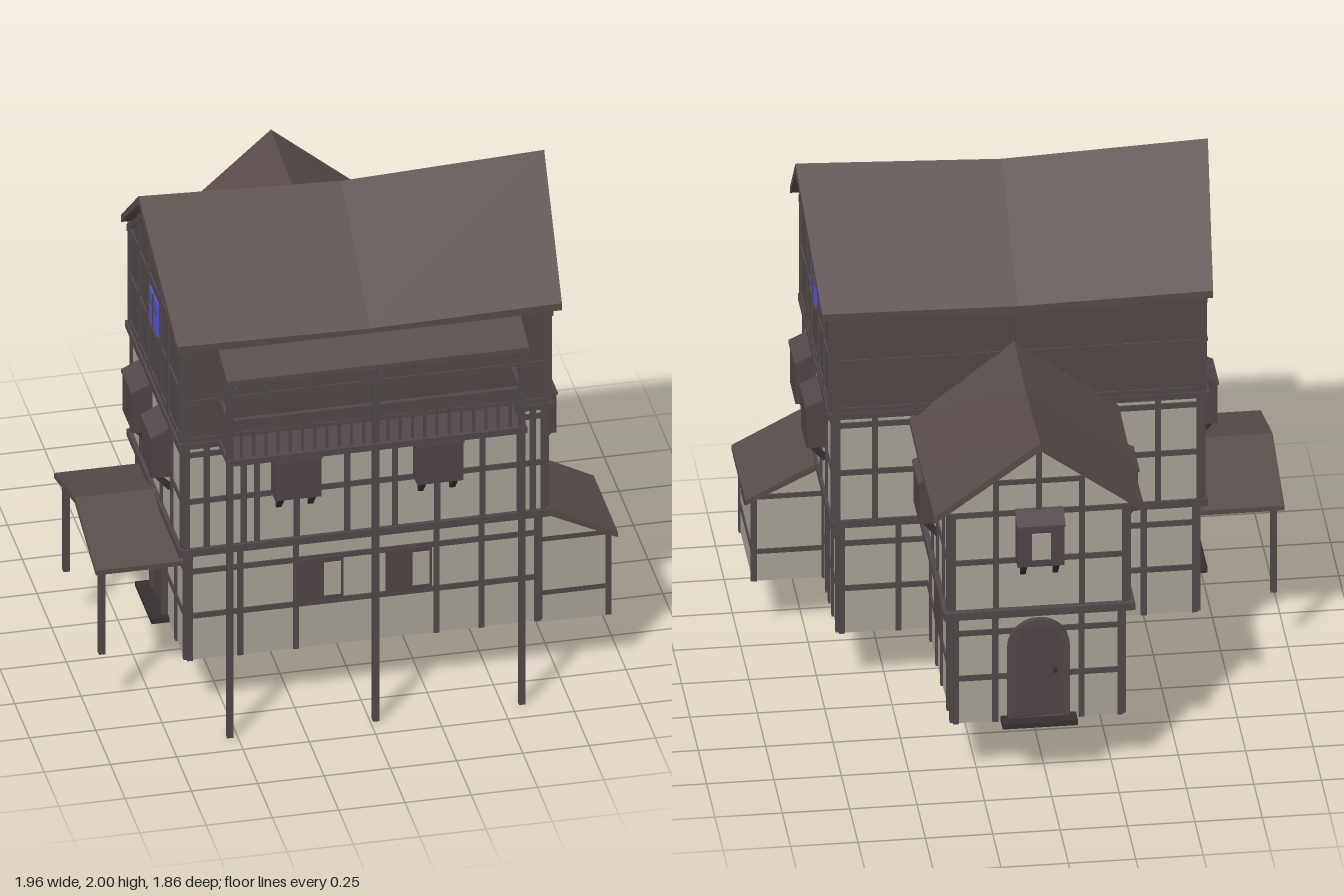
import * as THREE from 'three';

const mat = (name, color) => Object.assign(new THREE.MeshStandardMaterial({ color }), { name });

export function createModel() {
  const plaster = mat('plaster', 0xa7a298), wood = mat('timber', 0x51484a);
  const planks = mat('planks', 0x504746), shingle = mat('shingles', 0x574c4a);
  const panel = mat('shutterWood', 0x4f4345), glass = mat('blueGlass', 0x5552d6);
  const dark = mat('darkTimber', 0x363031);
  const root = new THREE.Group();
  root.name = 'timberHouse';
  const P = Math.PI;

  const add = (parent, name, geo, m) => {
    const o = new THREE.Mesh(geo, m);
    o.name = name;
    parent.add(o);
    return o;
  };
  const box = (parent, name, m, x0, x1, y0, y1, z0, z1) =>
    add(parent, name, new THREE.BoxGeometry(x1 - x0, y1 - y0, z1 - z0), m)
      .position.set((x0 + x1) / 2, (y0 + y1) / 2, (z0 + z1) / 2);
  // polygon extruded along z (points x,y) or along x (points z,y)
  const prism = (parent, name, m, axis, pts, from, to) => {
    const s = new THREE.Shape(pts.map(([a, y]) => new THREE.Vector2(axis === 'x' ? -a : a, y)));
    const g = new THREE.ExtrudeGeometry(s, { depth: to - from, bevelEnabled: false });
    g.translate(0, 0, from);
    if (axis === 'x') g.rotateY(P / 2);
    return add(parent, name, g, m);
  };
  // local frame on a wall: x runs along it, z points outward
  const turned = (name, rot, dist) => {
    const g = new THREE.Group();
    g.name = name;
    g.rotation.y = rot;
    g.position.set(Math.sin(rot) * dist, 0, Math.cos(rot) * dist);
    root.add(g);
    return g;
  };
  const FRONT = 0, RIGHT = P / 2, BACK = P, LEFT = -P / 2;
  const sign = rot => (rot === RIGHT || rot === BACK ? -1 : 1);

  // wall panel with upright posts and horizontal rails; top(u) gives the height of each post
  const facade = (name, rot, dist, a, b, y0, y1, posts, rails, m = plaster, top = () => y1) => {
    const g = turned(name, rot, dist), s = sign(rot);
    const lo = Math.min(a * s, b * s), hi = Math.max(a * s, b * s);
    box(g, 'wallPanel', m, lo, hi, y0, y1, -0.004, 0.004);
    for (const u of posts) box(g, 'post', wood, u * s - 0.011, u * s + 0.011, y0, top(u), -0.012, 0.012);
    for (const y of rails) box(g, 'rail', wood, lo, hi, y - 0.011, y + 0.011, -0.01, 0.01);
    return g;
  };

  // ground and middle storeys of the main house
  const sideG = [0.71, 0.57, 0.31, 0.2, 0.12, 0.02, -0.1], sideM = [0.725, 0.57, 0.39, 0.2, 0.04, -0.12];
  const frontG = [-0.64, -0.45, -0.24, 0.06, 0.29, 0.46, 0.67];
  const frontM = [-0.655, -0.58, -0.44, -0.39, -0.24, -0.05, 0.13, 0.29, 0.46, 0.6, 0.65, 0.69];
  const railsG = [0.62, 0.43], railsM = [0.93, 1.13];
  facade('groundFront', FRONT, 0.72, -0.65, 0.68, 0.24, 0.71, frontG, railsG);
  facade('groundBack', BACK, 0.11, -0.65, 0.68, 0.24, 0.71, frontG, railsG);
  facade('groundRight', RIGHT, 0.68, -0.11, 0.72, 0.24, 0.71, sideG, railsG);
  facade('groundLeft', LEFT, 0.65, -0.11, 0.72, 0.24, 0.71, [0.71, 0.57, 0.04, -0.1], railsG);
  facade('middleFront', FRONT, 0.735, -0.665, 0.7, 0.73, 1.17, frontM, railsM);
  facade('middleBack', BACK, 0.13, -0.665, 0.7, 0.73, 1.17, [-0.655, -0.5, 0.55, 0.69], railsM);
  facade('middleRight', RIGHT, 0.7, -0.13, 0.735, 0.73, 1.17, sideM, railsM);
  facade('middleLeft', LEFT, 0.665, -0.13, 0.735, 0.73, 1.17, sideM, railsM);
  box(root, 'lowerJetty', wood, -0.685, 0.715, 0.7, 0.73, -0.145, 0.755);
  box(root, 'upperJetty', wood, -0.69, 0.725, 1.165, 1.19, -0.155, 0.76);

  // plank-clad upper storey with gables
  const under = z => 1.955 - 0.765 * Math.abs(z - 0.305);
  const upX = [-0.66, -0.52, -0.36, -0.2, 0.02, 0.23, 0.4, 0.56, 0.7];
  facade('upperFront', FRONT, 0.745, -0.67, 0.71, 1.19, 1.61, upX, [1.2, 1.36], planks);
  facade('upperBack', BACK, 0.14, -0.67, 0.71, 1.19, 1.61, upX, [1.2, 1.4], planks);
  const upZ = [0.735, 0.53, 0.41, 0.2, 0.04, -0.13];
  for (const [name, rot, d] of [['upperRight', RIGHT, 0.71], ['upperLeft', LEFT, 0.67]]) {
    const g = facade(name, rot, d, -0.14, 0.745, 1.19, 1.61, upZ, [1.2, 1.4, 1.6], planks, under), s = sign(rot);
    prism(g, 'gablePanel', planks, 'z', [[-0.14 * s, 1.61], [0.305 * s, 1.955], [0.745 * s, 1.61]], -0.004, 0.004);
    prism(g, 'rakeBeam', wood, 'z', [[-0.16 * s, under(-0.16)], [0.305 * s, 1.96], [0.77 * s, under(0.77)],
      [0.77 * s, under(0.77) - 0.03], [0.305 * s, 1.93], [-0.16 * s, under(-0.16) - 0.03]], -0.004, 0.012);
    windowPane(g, 0.305 * s, 1.43, 0.14, 0.14);
  }

  function windowPane(g, u, y, w, h) {
    box(g, 'windowGlass', glass, u - w / 2, u + w / 2, y, y + h, 0.008, 0.015);
    box(g, 'mullion', wood, u - 0.007, u + 0.007, y, y + h, 0.008, 0.018);
    box(g, 'transom', wood, u - w / 2, u + w / 2, y + h * 0.62, y + h * 0.62 + 0.008, 0.008, 0.017);
    box(g, 'windowSill', wood, u - w / 2 - 0.01, u + w / 2 + 0.01, y - 0.015, y, 0, 0.02);
  }
  const upperWindows = turned('upperFrontWindows', FRONT, 0.745);
  windowPane(upperWindows, -0.31, 1.43, 0.14, 0.14);
  windowPane(upperWindows, 0.37, 1.43, 0.14, 0.14);

  // rear wing
  const wingX = [-0.29, -0.13, 0.19, 0.35], wingZ = [-0.21, -0.39, -0.54, -0.73];
  facade('wingGroundBack', BACK, 0.83, -0.285, 0.345, 0.24, 0.71, [-0.275, -0.13, 0.19, 0.335], railsG);
  const wingBack = facade('wingMiddleBack', BACK, 0.85, -0.3, 0.36, 0.73, 1.14, wingX, railsM);
  for (const [rot, dg, dm] of [[RIGHT, 0.345, 0.36], [LEFT, 0.285, 0.3]]) {
    facade('wingGroundSide', rot, dg, -0.83, -0.11, 0.24, 0.71, [...wingZ, -0.82], railsG);
    facade('wingMiddleSide', rot, dm, -0.85, -0.13, 0.73, 1.14, [...wingZ, -0.84], railsM);
  }
  prism(wingBack, 'wingGable', plaster, 'z', [[-0.36, 1.14], [-0.03, 1.425], [0.3, 1.14]], -0.004, 0.004);
  for (const u of [-0.19, -0.03, 0.13])
    box(wingBack, 'gablePost', wood, u - 0.011, u + 0.011, 1.14, 1.41 - Math.abs(u + 0.03) * 0.86, -0.01, 0.012);
  box(wingBack, 'gableRail', wood, -0.2, 0.14, 1.25, 1.27, -0.01, 0.01);
  box(root, 'wingJetty', wood, -0.325, 0.385, 0.7, 0.73, -0.88, -0.12);

  // sagging gable roofs: stations of [eaveX, ridgeX, eaveY, ridgeY], ridge along x
  const roof = (name, stations, half, t) => {
    const v = [], idx = [];
    for (const [ex, rx, ey, ry] of stations)
      v.push(ex, ey, half, rx, ry, 0, ex, ey, -half, ex, ey - t, -half, rx, ry - t * 1.2, 0, ex, ey - t, half);
    const quad = (a, b, c, d) => idx.push(a, b, c, a, c, d);
    for (let s = 0; s < stations.length - 1; s++)
      for (let i = 0; i < 6; i++) {
        const j = (i + 1) % 6, a = s * 6, b = a + 6;
        quad(a + i, b + i, b + j, a + j);
      }
    const e = (stations.length - 1) * 6;
    quad(0, 1, 4, 5); quad(1, 2, 3, 4);
    quad(e + 5, e + 4, e + 1, e); quad(e + 4, e + 3, e + 2, e + 1);
    let g = new THREE.BufferGeometry();
    g.setAttribute('position', new THREE.Float32BufferAttribute(v, 3));
    g.setIndex(idx);
    g = g.toNonIndexed();
    g.computeVertexNormals();
    return add(root, name, g, shingle);
  };
  roof('mainRoof', [[-0.7, -0.74, 1.63, 2], [0.025, 0.025, 1.615, 1.967], [0.75, 0.79, 1.63, 2]], 0.483, 0.03)
    .position.z = 0.305;
  const wingRoof = roof('wingRoof', [[0.13, 0.13, 1.145, 1.45], [0.47, 0.47, 1.135, 1.428], [0.89, 0.93, 1.15, 1.46]], 0.388, 0.028);
  wingRoof.rotation.y = P / 2;
  wingRoof.position.x = 0.033;
  roof('porchRoof', [[-0.98, -0.98, 0.63, 0.735], [-0.64, -0.64, 0.63, 0.735]], 0.358, 0.02).position.z = 0.303;
  for (const z of [0, 0.605]) box(root, 'porchPost', wood, -0.958, -0.934, 0.24, 0.63, z - 0.012, z + 0.012);
  for (const z of [0, 0.605]) box(root, 'porchBeam', wood, -0.96, -0.65, 0.605, 0.625, z - 0.01, z + 0.01);

  // bay boxes on brackets
  const bay = (rot, dist, at) => {
    const g = turned('bay', rot, dist), u = at * sign(rot);
    prism(g, 'bayBox', panel, 'x', [[0, 0.935], [0.075, 0.935], [0.075, 1.1], [0, 1.135]], u - 0.087, u + 0.087);
    prism(g, 'bayLid', wood, 'x', [[0, 1.135], [0.08, 1.098], [0.08, 1.108], [0, 1.147]], u - 0.09, u + 0.09);
    for (const k of [-0.06, 0.06])
      prism(g, 'bracket', dark, 'x', [[0, 0.87], [0.012, 0.87], [0.068, 0.935], [0.045, 0.935], [0, 0.89]], u + k - 0.01, u + k + 0.01);
    return g;
  };
  bay(FRONT, 0.74, -0.25); bay(FRONT, 0.74, 0.285);
  for (const z of [0.47, 0.14]) { bay(RIGHT, 0.705, z); bay(LEFT, 0.67, z); }
  bay(RIGHT, 0.362, -0.47); bay(LEFT, 0.3, -0.47);
  box(bay(BACK, 0.85, 0.03), 'bayPane', plaster, -0.065, 0.005, 0.965, 1.075, 0.07, 0.079);

  // ground floor shuttered windows
  const shutter = (rot, dist, at, pane) => {
    const g = turned('shutteredWindow', rot, dist), u = at * sign(rot);
    box(g, 'shutter', panel, u - 0.087, u + 0.087, 0.44, 0.62, 0, 0.016);
    if (pane) box(g, 'pane', plaster, u + pane - 0.032, u + pane + 0.032, 0.46, 0.6, 0.012, 0.019);
  };
  shutter(FRONT, 0.72, -0.15, 0.045); shutter(FRONT, 0.72, 0.185, 0.045);
  shutter(RIGHT, 0.345, -0.475); shutter(LEFT, 0.285, -0.475);

  // arched doors with step
  const arch = (r, y0, spring) => {
    const s = new THREE.Shape();
    s.moveTo(-r, y0).lineTo(r, y0).lineTo(r, spring);
    s.absarc(0, spring, r, 0, P, false);
    return s.lineTo(-r, y0);
  };
  const door = (rot, dist, at) => {
    const g = turned('archedDoor', rot, dist), u = at * sign(rot);
    const ring = arch(0.115, 0.25, 0.555);
    ring.holes.push(arch(0.09, 0.26, 0.555));
    const opt = depth => ({ depth, bevelEnabled: false, curveSegments: 8 });
    add(g, 'doorFrame', new THREE.ExtrudeGeometry(ring, opt(0.026)), wood).position.x = u;
    add(g, 'doorLeaf', new THREE.ExtrudeGeometry(arch(0.092, 0.25, 0.555), opt(0.014)), panel).position.x = u;
    box(g, 'doorHandle', dark, u + 0.055, u + 0.07, 0.44, 0.46, 0.01, 0.024);
    box(g, 'doorStep', dark, u - 0.14, u + 0.14, 0.24, 0.26, -0.01, 0.072);
  };
  door(BACK, 0.83, 0.03);
  door(LEFT, 0.65, 0.305);

  // lean-to shed
  prism(root, 'shedWalls', plaster, 'z', [[0.67, 0.225], [0.945, 0.225], [0.945, 0.57], [0.67, 0.7]], 0.335, 0.715);
  prism(root, 'shedRoof', shingle, 'z', [[0.68, 0.705], [0.975, 0.56], [0.975, 0.58], [0.7, 0.725], [0.68, 0.725]], 0.312, 0.73);
  for (const z of [0.33, 0.695]) {
    box(root, 'shedPost', wood, 0.93, 0.952, 0.225, 0.57, z, z + 0.022);
    box(root, 'shedRailLow', wood, 0.68, 0.95, 0.34, 0.36, z + 0.001, z + 0.021);
    box(root, 'shedRailHigh', wood, 0.68, 0.95, 0.57, 0.59, z + 0.001, z + 0.021);
  }
  for (const y of [0.35, 0.565]) box(root, 'shedRailEnd', wood, 0.93, 0.95, y - 0.01, y + 0.01, 0.335, 0.715);
  [[0.47, 0.045], [0.485, 0.065], [0.5, 0.08], [0.515, 0.065], [0.53, 0.04]].forEach(([y, h], i) =>
    box(root, 'wallOrnament', i % 2 ? dark : wood, 0.94, 0.958, y - 0.008, y + 0.008, 0.53 - h, 0.53 + h));

  // balcony on tall posts
  box(root, 'balconyFloor', wood, -0.54, 0.59, 1.17, 1.195, 0.74, 0.92);
  prism(root, 'balconyRoof', shingle, 'x', [[0.74, 1.595], [0.93, 1.525], [0.93, 1.543], [0.74, 1.613]], -0.545, 0.595);
  box(root, 'balconyFascia', wood, -0.53, 0.58, 1.51, 1.532, 0.89, 0.912);
  box(root, 'topRail', wood, -0.53, 0.58, 1.345, 1.36, 0.89, 0.91);
  for (let i = 1; i < 24; i++) {
    const x = -0.53 + i * 0.0461;
    box(root, 'baluster', wood, x - 0.005, x + 0.005, 1.19, 1.35, 0.895, 0.905);
  }
  for (const x of [-0.528, 0.022, 0.573]) {
    box(root, 'balconyPost', wood, x - 0.012, x + 0.012, 0, 1.53, 0.888, 0.912);
    for (const k of [-1, 1]) // knee braces under the fascia
      if (Math.abs(x + k * 0.06 - 0.022) < 0.55)
        prism(root, 'kneeBrace', wood, 'z', [[x, 1.45], [x + k * 0.06, 1.515], [x + k * 0.04, 1.515], [x, 1.47]], 0.894, 0.906);
  }
  for (const x of [-0.528, 0.573]) {
    box(root, 'sideRail', wood, x - 0.008, x + 0.008, 1.345, 1.36, 0.745, 0.9);
    box(root, 'sideBeam', wood, x - 0.008, x + 0.008, 1.51, 1.53, 0.745, 0.9);
    for (const z of [0.785, 0.825, 0.865]) box(root, 'sideBaluster', wood, x - 0.005, x + 0.005, 1.19, 1.35, z - 0.005, z + 0.005);
    prism(root, 'sideBrace', wood, 'x', [[0.9, 1.45], [0.84, 1.515], [0.86, 1.515], [0.9, 1.47]], x - 0.006, x + 0.006);
  }
  return root;
}
